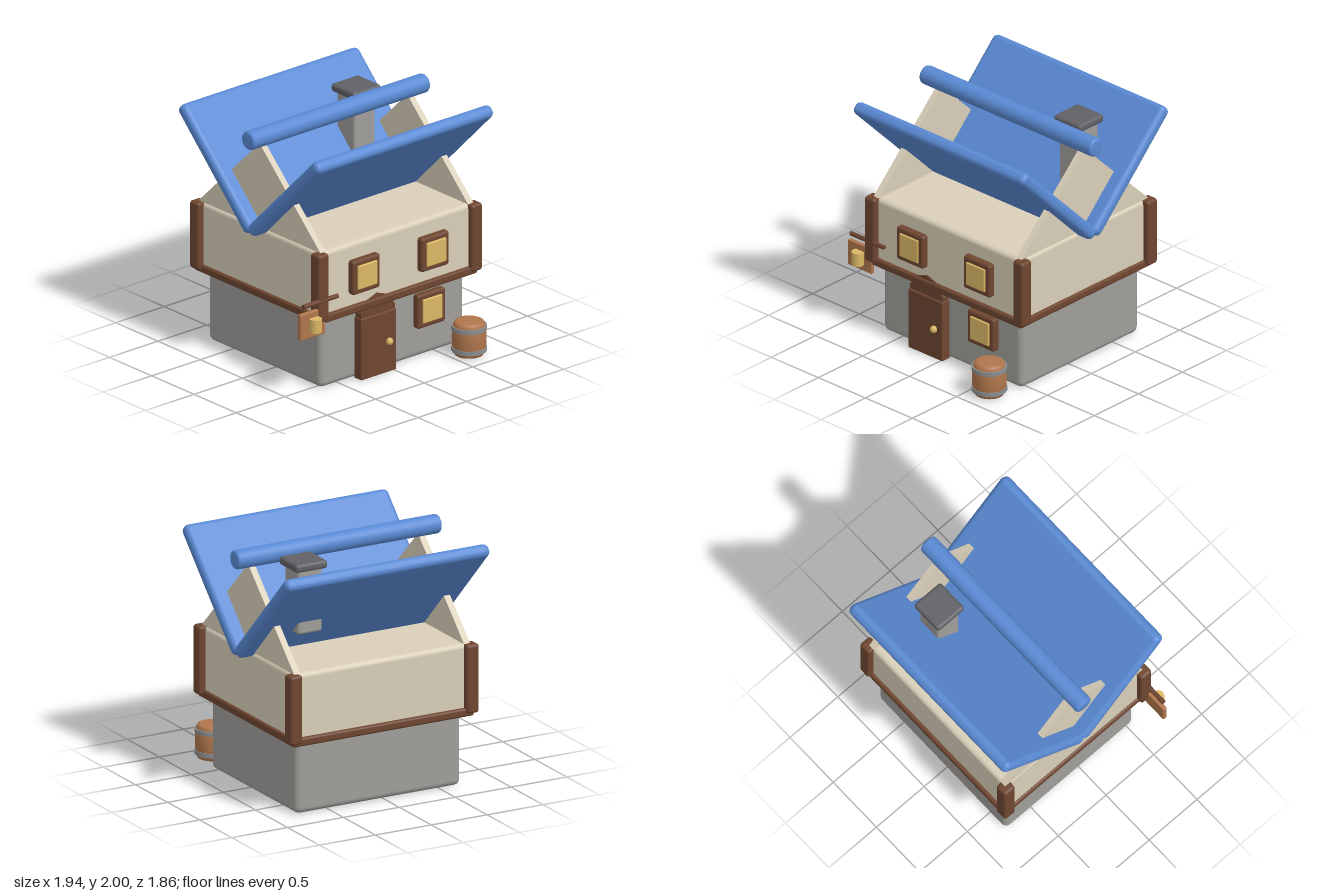
import * as THREE from 'three';
import { RoundedBoxGeometry } from 'three/addons/geometries/RoundedBoxGeometry.js';

const material = (name, color) => {
  const m = new THREE.MeshStandardMaterial({ color });
  m.name = name;
  return m;
};

export function createModel() {
  const house = new THREE.Group();
  house.name = 'house';

  const stone = material('stone', 0x9f9e9a);
  const plaster = material('plaster', 0xd9cfb9);
  const timber = material('darkTimber', 0x6e4630);
  const lightWood = material('lightWood', 0xb0764c);
  const roofBlue = material('roofBlue', 0x5a8ad4);
  const glow = material('windowGold', 0xdcb866);
  const slate = material('slate', 0x606066);
  const iron = material('iron', 0x8b8e90);

  // Centre of the building
  const CX = 0.05, CZ = -0.1;

  const add = (name, geometry, mat, x = 0, y = 0, z = 0, parent = house) => {
    const mesh = new THREE.Mesh(geometry, mat);
    mesh.name = name;
    mesh.position.set(x, y, z);
    parent.add(mesh);
    return mesh;
  };
  const box = (name, mat, size, pos, r = 0.015, parent = house) =>
    add(name, new RoundedBoxGeometry(...size, 3, r), mat, ...pos, parent);

  // Storeys
  box('groundFloor', stone, [1.48, 0.64, 1.34], [CX, 0.32, CZ], 0.05);
  box('upperFloor', plaster, [1.58, 0.57, 1.44], [CX, 0.885, CZ], 0.04);

  // Beams around the overhang, and corner posts
  for (const s of [-1, 1]) {
    box('longBeam', timber, [1.62, 0.07, 0.09], [CX, 0.615, CZ + s * 0.705], 0.02);
    box('sideBeam', timber, [0.09, 0.07, 1.5], [CX + s * 0.765, 0.615, CZ], 0.02);
    for (const t of [-1, 1]) {
      box('cornerPost', timber, [0.11, 0.565, 0.11], [CX + s * 0.79, 0.888, CZ + t * 0.715], 0.025);
    }
  }

  // Gables
  const gableShape = new THREE.Shape([
    new THREE.Vector2(-0.72, 0), new THREE.Vector2(0.72, 0), new THREE.Vector2(0, 0.7),
  ]);
  const gable = new THREE.ExtrudeGeometry(gableShape, { depth: 0.054, bevelEnabled: false });
  gable.translate(0, 0, -0.027).rotateY(-Math.PI / 2);
  for (const s of [-1, 1]) add('gable', gable, plaster, CX + s * 0.76, 1.17, CZ);

  // Roof panels spread in a V, with the ridge pole above
  for (const s of [-1, 1]) {
    const panel = box('roofPanel', roofBlue, [1.825, 0.106, 1.15], [CX, 1.555, CZ + s * 0.41], 0.045);
    panel.rotation.x = -s * Math.PI / 4;
  }
  const R = 0.077, H = 0.912, B = 0.02;
  const ridge = new THREE.LatheGeometry([
    [0, -H], [R - B, -H], [R - 0.006, -H + 0.006], [R, -H + B],
    [R, H - B], [R - 0.006, H - 0.006], [R - B, H], [0, H],
  ].map(([x, y]) => new THREE.Vector2(x, y)), 24);
  ridge.rotateZ(Math.PI / 2);
  add('ridgePole', ridge, roofBlue, CX, 1.923, CZ);

  // Chimney
  box('chimneyStack', stone, [0.22, 0.54, 0.22], [0.505, 1.63, -0.385], 0.025);
  box('chimneyCap', slate, [0.285, 0.068, 0.28], [0.505, 1.912, -0.385], 0.025);

  // Windows: frame and glowing pane
  for (const [x, y, z] of [[-0.305, 0.89, 0.64], [0.405, 0.89, 0.64], [0.405, 0.4, 0.595]]) {
    const win = new THREE.Group();
    win.name = 'window';
    win.position.set(x, y, z);
    house.add(win);
    box('windowFrame', timber, [0.285, 0.285, 0.07], [0, 0, 0], 0.022, win);
    box('windowPane', glow, [0.2, 0.2, 0.06], [0, 0, 0.018], 0.01, win);
  }

  // Door with pointed arch and knob
  box('door', timber, [0.365, 0.515, 0.09], [-0.16, 0.2575, 0.605], 0.012);
  const arch = new THREE.Shape([
    [-0.175, 0], [0.175, 0], [0.175, 0.055], [0.155, 0.08], [0.1, 0.15],
    [0, 0.185], [-0.1, 0.15], [-0.155, 0.08], [-0.175, 0.055],
  ].map(([x, y]) => new THREE.Vector2(x, y)));
  add('doorArch', new THREE.ExtrudeGeometry(arch, { depth: 0.085, bevelEnabled: false }),
    timber, -0.16, 0.5, 0.55);
  add('doorKnob', new THREE.SphereGeometry(0.03, 12, 8), glow, -0.06, 0.26, 0.66);

  // Barrel with iron hoops
  const barrel = new THREE.Group();
  barrel.name = 'barrel';
  barrel.position.set(0.65, 0, 0.785);
  house.add(barrel);
  const stave = [
    [0, 0], [0.095, 0], [0.115, 0.008], [0.125, 0.03], [0.133, 0.08], [0.136, 0.143],
    [0.133, 0.205], [0.125, 0.255], [0.115, 0.277], [0.095, 0.285], [0, 0.285],
  ].map(([x, y]) => new THREE.Vector2(x, y));
  add('barrelBody', new THREE.LatheGeometry(stave, 24), lightWood, 0, 0, 0, barrel);
  for (const y of [0.055, 0.232]) {
    add('barrelHoop', new THREE.CylinderGeometry(0.141, 0.141, 0.034, 14), iron, 0, y, 0, barrel);
  }

  // Hanging sign: pole, board and mug
  const sign = new THREE.Group();
  sign.name = 'hangingSign';
  house.add(sign);
  const pole = new THREE.CylinderGeometry(0.019, 0.019, 0.355, 10).rotateZ(Math.PI / 2);
  add('signPole', pole, timber, -0.768, 0.785, 0.654, sign);
  box('signBoard', lightWood, [0.255, 0.22, 0.036], [-0.848, 0.615, 0.642], 0.01, sign);
  add('signMug', new THREE.CylinderGeometry(0.05, 0.05, 0.112, 16), glow, -0.845, 0.617, 0.685, sign);

  return house;
}
